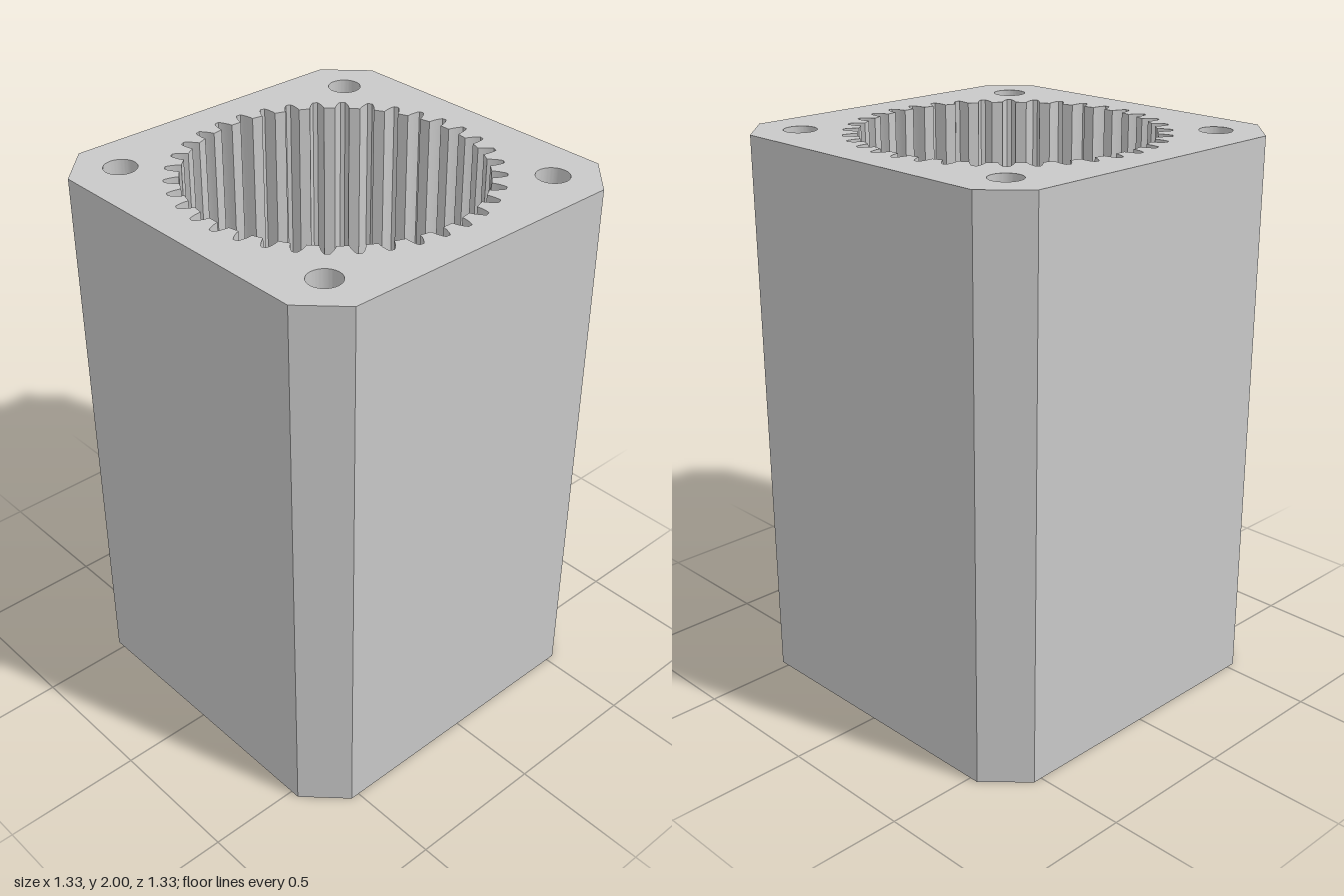
import * as THREE from 'three';
import { toCreasedNormals } from 'three/addons/utils/BufferGeometryUtils.js';

const HEIGHT = 2, HALF = 0.667, CUT = 0.533;
const SLOTS = 36;
const BOLT_POS = 0.492, BOLT_RADIUS = 0.057;

// Half of one tooth slot: [radius, half width], from mouth to tip
const SLOT_PROFILE = [[0.502, 0.0245], [0.516, 0.0225], [0.53, 0.0185], [0.543, 0.0135], [0.552, 0.008]];

// Square outline with chamfered corners
function bodyOutline() {
  return new THREE.Shape([
    [CUT, -HALF], [HALF, -CUT], [HALF, CUT], [CUT, HALF],
    [-CUT, HALF], [-HALF, CUT], [-HALF, -CUT], [-CUT, -HALF],
  ].map(([x, y]) => new THREE.Vector2(x, y)));
}

// Internal gear bore: the slot profile, mirrored and repeated round the axis
function gearBore() {
  const slot = [
    ...SLOT_PROFILE.map(([r, w]) => [r, -w]),
    ...[...SLOT_PROFILE].reverse(),
  ];
  const points = [];
  for (let i = 0; i < SLOTS; i++) {
    const angle = ((i + 0.5) / SLOTS) * Math.PI * 2;
    for (const [r, w] of slot) {
      const a = angle + Math.asin(w / r);
      points.push(new THREE.Vector2(r * Math.cos(a), r * Math.sin(a)));
    }
  }
  return new THREE.Path(points);
}

function boltHole(x, y) {
  return new THREE.Path().absarc(x, y, BOLT_RADIUS, 0, Math.PI * 2, false);
}

export function createModel() {
  const steel = new THREE.MeshStandardMaterial({ color: 0xc8c8c8 });
  steel.name = 'light grey';

  const shape = bodyOutline();
  shape.holes.push(gearBore());
  for (const sx of [-1, 1]) {
    for (const sy of [-1, 1]) shape.holes.push(boltHole(sx * BOLT_POS, sy * BOLT_POS));
  }

  // Extrude upwards, keeping the corners crisp and the bolt holes smooth
  const geometry = new THREE.ExtrudeGeometry(shape, { depth: HEIGHT, bevelEnabled: false, curveSegments: 32 });
  geometry.rotateX(-Math.PI / 2);

  const housing = new THREE.Mesh(toCreasedNormals(geometry, 0.4), steel);
  housing.name = 'ringGearHousing';

  const model = new THREE.Group();
  model.name = 'ringGear';
  model.add(housing);
  return model;
}
